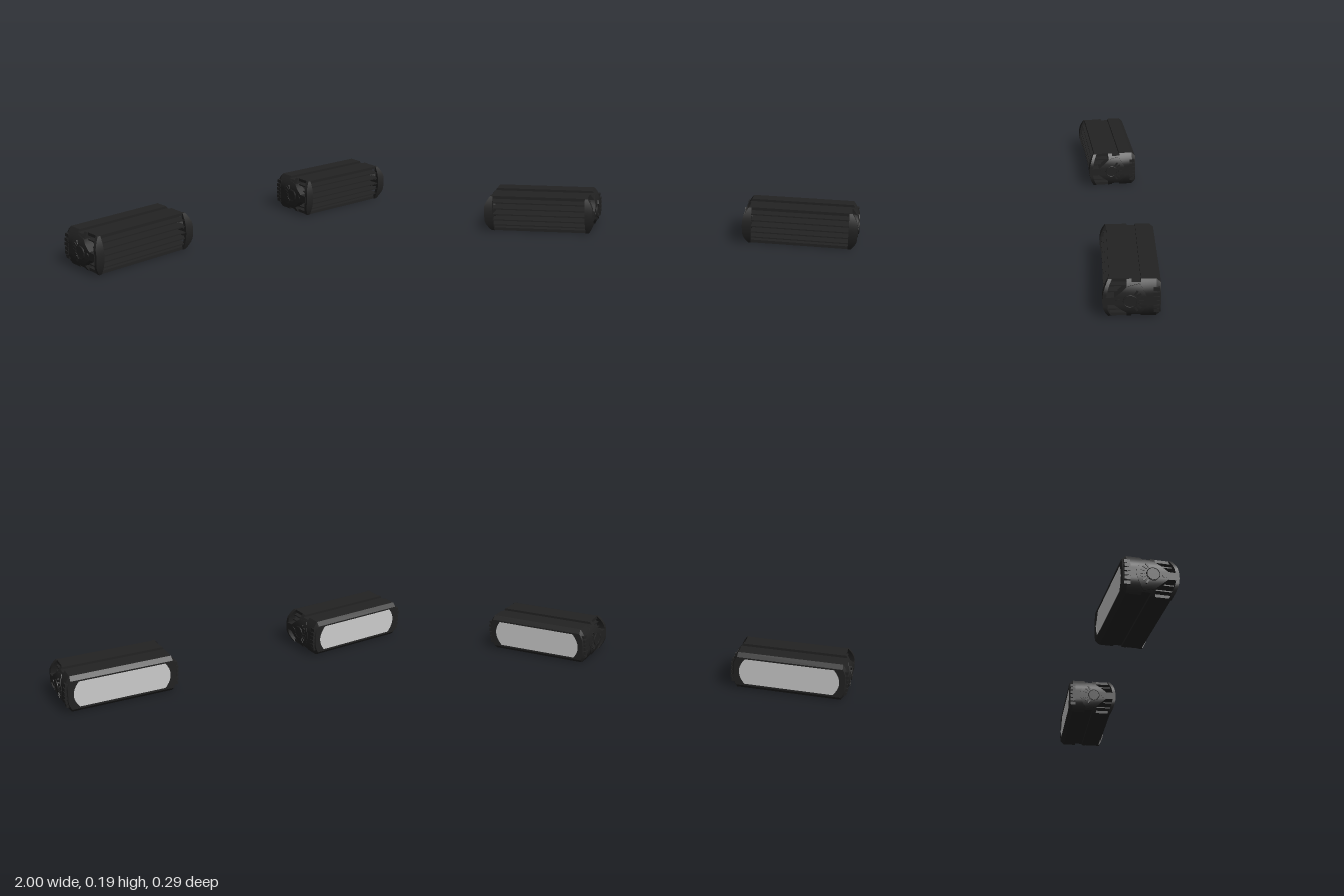
import * as THREE from 'three';
import { toCreasedNormals } from 'three/addons/utils/BufferGeometryUtils.js';

const H = 0.193, CY = H / 2;
const black = new THREE.MeshStandardMaterial({ color: 0x222222 });
const grey = new THREE.MeshStandardMaterial({ color: 0xcccccc });

// Half length of the housing at height y: flat in the middle, rounded to top and bottom
const edge = y => 0.295 - 0.03 * Math.pow(Math.max(0, Math.abs(y - CY) - 0.035) / 0.0615, 1.6);
// Curved front of the end frames and fins
const front = y => 0.132 - 0.027 * ((y - CY) / CY) ** 2;
// Rounded ends of the lens
const lensEnd = y => 0.255 - 0.03 * ((y - CY) / 0.069) ** 2;

function add(parent, name, geometry, material = black) {
  const mesh = new THREE.Mesh(geometry, material);
  mesh.name = name;
  parent.add(mesh);
  return mesh;
}

function box(parent, name, x0, x1, y0, y1, z0, z1) {
  const mesh = add(parent, name, new THREE.BoxGeometry(x1 - x0, y1 - y0, z1 - z0));
  mesh.position.set((x0 + x1) / 2, (y0 + y1) / 2, (z0 + z1) / 2);
  return mesh;
}

// Closed outline in x and y, straight above and below, curved at both ends
function outline(end, inset, n = 16) {
  const right = [], left = [];
  for (let i = 0; i <= n; i++) {
    const y = inset + (H - 2 * inset) * i / n;
    right.push(new THREE.Vector2(end(y), y));
    left.unshift(new THREE.Vector2(-end(y), y));
  }
  return [...right, ...left];
}

// Skin over a row of equal rings, with optional end faces
function loft(rings, closed) {
  const out = [], n = rings[0].length;
  const tri = (...p) => p.forEach(v => out.push(v.x, v.y, v.z));
  for (let r = 0; r < rings.length - 1; r++) {
    const a = rings[r], b = rings[r + 1];
    for (let i = 0; i < n; i++) {
      const j = (i + 1) % n;
      tri(a[i], b[i], b[j]);
      tri(a[i], b[j], a[j]);
    }
  }
  if (closed) {
    const a = rings[0], b = rings[rings.length - 1];
    for (let i = 1; i < n - 1; i++) {
      tri(a[0], a[i], a[i + 1]);
      tri(b[0], b[i + 1], b[i]);
    }
  }
  const g = new THREE.BufferGeometry();
  g.setAttribute('position', new THREE.Float32BufferAttribute(out, 3));
  return toCreasedNormals(g, 0.5);
}

// Upright slab whose rectangle in x and z changes with height
const slab = (ys, z0, z1, proud) => loft(ys.map(y => {
  const xi = 0.25, xo = edge(y) + proud;
  return [[xi, z0(y)], [xo, z0(y)], [xo, z1(y)], [xi, z1(y)]].map(([x, z]) => new THREE.Vector3(x, y, z));
}), true);

function makeEnd() {
  const end = new THREE.Group();
  end.name = 'endCap';

  // Curved front rim
  const ys = Array.from({ length: 21 }, (_, i) => H * i / 20);
  add(end, 'endRim', slab(ys, y => front(y) - 0.017, front, 0));

  // Bracket: rounded behind, narrowing to a neck that meets the rim
  const profile = [[0, 0.118], [0.0185, 0.118], [0.02, 0.078], [0.045, 0.048], [0.068, 0.02], [0.078, -0.03]];
  const rows = [...profile.slice(1).reverse().map(([d]) => CY - d), ...profile.map(([d]) => CY + d)];
  const rear = y => -0.07 + 0.035 * ((y - CY) / 0.078) ** 2;
  const fore = y => profile.reduce((best, p) =>
    Math.abs(p[0] - Math.abs(y - CY)) < Math.abs(best[0] - Math.abs(y - CY)) ? p : best)[1];
  add(end, 'bracket', slab(rows, rear, fore, 0.003));

  // Pivot boss with raised ring, and a small bolt
  const disc = (name, r, z, x1) => {
    const m = add(end, name, new THREE.CylinderGeometry(r, r, x1 - 0.28, 32));
    m.rotation.z = Math.PI / 2;
    m.position.set((x1 + 0.28) / 2, CY, z);
  };
  disc('pivotBoss', 0.033, 0.007, 0.3015);
  disc('bolt', 0.012, 0.06, 0.301);
  const ring = add(end, 'pivotRing', new THREE.TorusGeometry(0.03, 0.002, 6, 32));
  ring.rotation.y = Math.PI / 2;
  ring.position.set(0.301, CY, 0.007);

  // Fan of adjustment ribs behind the boss
  for (let i = -3; i <= 3; i++) {
    const a = i * 0.33;
    const rib = add(end, 'adjustmentRib', new THREE.BoxGeometry(0.01, 0.008, 0.022));
    rib.position.set(0.2955, CY + 0.05 * Math.sin(a), 0.007 - 0.05 * Math.cos(a));
    rib.rotation.x = a;
  }

  // Short cooling ribs beside the bezel
  for (let i = 0; i < 6; i++) {
    const y = CY + (i - 2.5) * 0.022;
    box(end, 'sideRib', 0.26, edge(y) + 0.003, y - 0.008, y + 0.008, -0.126, -0.098);
  }
  return end;
}

function makeLight() {
  const light = new THREE.Group();

  // Housing in three lengths; the middle one forms the mounting channels
  [[-0.112, -0.042, 0], [-0.042, 0, 0.012], [0, 0.022, 0]].forEach(([z0, z1, inset], i) => {
    const g = new THREE.ExtrudeGeometry(new THREE.Shape(outline(edge, inset)), { depth: z1 - z0, bevelEnabled: false });
    g.translate(0, 0, z0);
    add(light, ['rearHousing', 'mountingChannel', 'frontHousing'][i], toCreasedNormals(g, 0.5));
  });

  // Top and bottom plates and open cooling fins
  for (const y of [0, H - 0.015]) box(light, 'outerPlate', -0.262, 0.262, y, y + 0.015, 0.02, 0.1);
  for (let i = -2; i <= 2; i++) {
    const y = CY + i * 0.031;
    box(light, 'coolingFin', -0.265, 0.265, y - 0.003, y + 0.003, 0.02, front(y) - 0.007);
  }

  // Chamfered bezel around the recessed lens
  const ringAt = (end, inset, z) => outline(end, inset).map(p => new THREE.Vector3(p.x, p.y, z));
  add(light, 'bezel', loft([
    ringAt(edge, 0, -0.112),
    ringAt(y => edge(y) - 0.012, 0.02, -0.132),
    ringAt(lensEnd, 0.0275, -0.132),
    ringAt(lensEnd, 0.0275, -0.127),
  ], false));
  const lens = new THREE.ShapeGeometry(new THREE.Shape(outline(lensEnd, 0.0275)));
  lens.rotateY(Math.PI);
  add(light, 'lens', lens, grey).position.z = -0.128;

  // Matching ends
  for (const s of [1, -1]) {
    const end = makeEnd();
    end.scale.x = s;
    light.add(end);
  }
  return light;
}

export function createModel() {
  const model = new THREE.Group();
  model.name = 'lightPair';
  for (const s of [-1, 1]) {
    const light = makeLight();
    light.name = s > 0 ? 'leftLight' : 'rightLight';
    light.position.x = s * 0.697;
    light.rotation.y = -s * 0.05;
    model.add(light);
  }
  return model;
}
